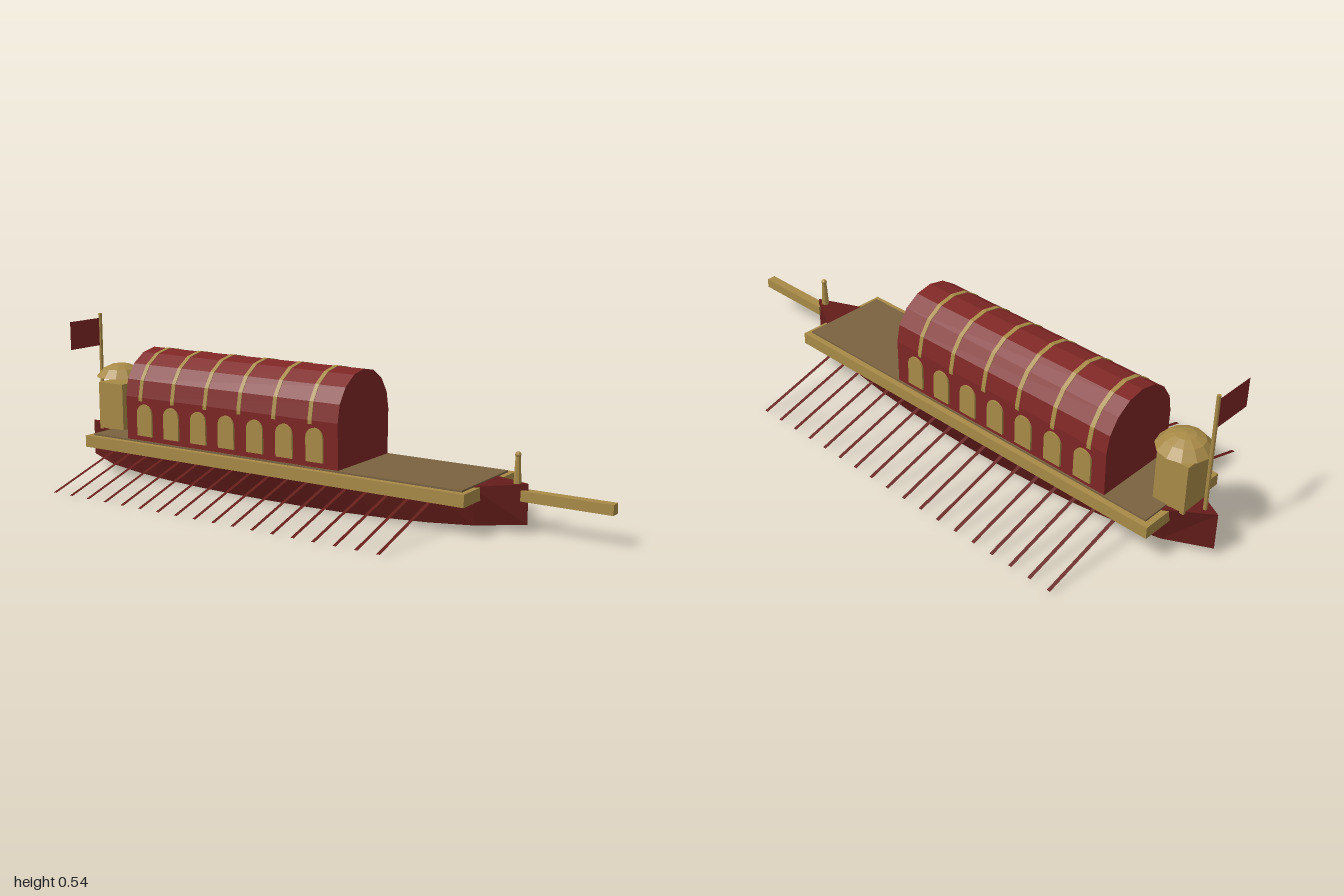
import * as THREE from 'three';

const mat = (color, double = false) => new THREE.MeshStandardMaterial({
  color, flatShading: true, side: double ? THREE.DoubleSide : THREE.FrontSide });
const RED = mat(0x7e2624), HULL = mat(0x641d1a, true), CLOTH = mat(0x7e2624, true);
const GOLD = mat(0xa88a47), DECK = mat(0x7a6240), OAR = mat(0x641d1a, true);

export function createModel() {
  const root = new THREE.Group();
  const add = (name, geometry, material, x = 0, y = 0, z = 0, parent = root) => {
    const mesh = new THREE.Mesh(geometry, material);
    mesh.name = name;
    mesh.position.set(x, y, z);
    parent.add(mesh);
    return mesh;
  };
  const group = (name) => {
    const g = new THREE.Group();
    g.name = name;
    root.add(g);
    return g;
  };
  // Box given by its limits on each axis
  const box = (name, material, x0, x1, y0, y1, z0, z1) =>
    add(name, new THREE.BoxGeometry(x1 - x0, y1 - y0, z1 - z0), material,
      (x0 + x1) / 2, (y0 + y1) / 2, (z0 + z1) / 2);

  add('hull', hullGeometry(), HULL);

  // Gold platform with the inset deck on top
  box('platform', GOLD, -0.88, 0.605, 0.096, 0.136, -0.1725, 0.1725);
  box('deck', DECK, -0.86, 0.588, 0.13, 0.142, -0.152, 0.152);

  // Barrel-roofed cabin
  const cabinSection = new THREE.Shape([
    new THREE.Vector2(-0.148, 0.138), new THREE.Vector2(0.148, 0.138), ...archPoints(0.151)]);
  add('cabin', alongX(cabinSection, 0.86), RED, -0.705);

  // Gold ribs following the facets of the roof
  const ribSection = new THREE.Shape([
    new THREE.Vector2(0.153, 0.279), ...archPoints(0.153), new THREE.Vector2(-0.153, 0.279),
    new THREE.Vector2(-0.147, 0.279), ...archPoints(0.147).reverse(), new THREE.Vector2(0.147, 0.279)]);
  const ribGeometry = alongX(ribSection, 0.015);
  const ribs = group('roofRibs');
  for (let i = 0; i < 6; i++) add('rib', ribGeometry, GOLD, -0.6485 + i * 0.1385, 0, 0, ribs);

  // Arched windows along both walls
  const arch = new THREE.Shape();
  arch.moveTo(-0.032, 0.16);
  arch.lineTo(0.032, 0.16);
  arch.lineTo(0.032, 0.237);
  arch.absarc(0, 0.237, 0.032, 0, Math.PI, false);
  arch.closePath();
  const windowGeometry = new THREE.ExtrudeGeometry(arch,
    { depth: 0.012, bevelEnabled: false, curveSegments: 6 });
  const windows = group('windows');
  for (let i = 0; i < 7; i++) {
    for (const z of [0.144, -0.156]) add('window', windowGeometry, GOLD, -0.623 + i * 0.1155, 0, z, windows);
  }

  // Flat, sloping oars in two mirrored banks
  const drop = 0.09, reach = 0.3;
  const oarGeometry = new THREE.PlaneGeometry(0.012, Math.hypot(drop, reach));
  oarGeometry.rotateX(-Math.PI / 2 + Math.atan2(drop, reach));
  const oars = group('oars');
  for (let i = 0; i < 18; i++) {
    for (const s of [-1, 1]) {
      const oar = add('oar', oarGeometry, OAR, -0.76 + i * 0.0732, 0.052, s * 0.3, oars);
      if (s < 0) oar.rotation.y = Math.PI;
    }
  }

  // Stern tower and its domed canopy
  box('sternTower', GOLD, -0.92, -0.81, 0.136, 0.305, -0.055, 0.055);
  const dome = [[0, 0.325], [0.086, 0.325], [0.061, 0.354], [0.032, 0.367], [0, 0.372]]
    .map(([r, y]) => new THREE.Vector2(r, y));
  add('canopy', new THREE.LatheGeometry(dome, 12), GOLD, -0.864);

  // Flag at the stern
  add('flagPole', new THREE.CylinderGeometry(0.0065, 0.0065, 0.41, 8), GOLD, -0.955, 0.337);
  const flag = new THREE.PlaneGeometry(0.152, 0.098);
  flag.rotateY(Math.PI / 2);
  add('flag', flag, CLOTH, -0.955, 0.477, 0.076);

  // Bow spar and figurehead
  box('bowSpar', GOLD, 0.71, 1, 0.097, 0.129, -0.016, 0.016);
  add('figureheadBody', new THREE.CylinderGeometry(0.008, 0.013, 0.09, 8), GOLD, 0.692, 0.185);
  add('figureheadHead', new THREE.SphereGeometry(0.01, 8, 6), GOLD, 0.692, 0.234);

  return root;
}

// Eight-sided half circle of the cabin roof
function archPoints(r) {
  return Array.from({ length: 9 }, (_, i) => new THREE.Vector2(
    r * Math.cos(i * Math.PI / 8), 0.291 + r * Math.sin(i * Math.PI / 8)));
}

// Extrudes a cross-section along the length of the ship
function alongX(shape, depth) {
  return new THREE.ExtrudeGeometry(shape, { depth, bevelEnabled: false }).rotateY(Math.PI / 2);
}

// Double-pointed hull, lofted from stern to bow, closed above and below at the tips
function hullGeometry() {
  const N = 12, pos = [], idx = [];
  for (let i = 0; i <= N; i++) {
    const u = i / N, t = Math.abs(2 * u - 1);
    const x = -1 + 1.728 * u;
    const w = 0.165 * Math.sqrt(Math.max(0, Math.sin(Math.PI * u)));
    const top = 0.1 + 0.05 * t ** 1.5, keel = 0.025 * t ** 3;
    pos.push(x, top, w, x, keel, w * 0.73, x, keel, -w * 0.73, x, top, -w);
  }
  for (let i = 0; i < N; i++) {
    const a = i * 4, b = a + 4;
    idx.push(a, a + 1, b + 1, a, b + 1, b);
    idx.push(a + 3, b + 2, a + 2, a + 3, b + 3, b + 2);
    if (i === 0 || i === N - 1) {
      idx.push(a, b, b + 3, a, b + 3, a + 3);
      idx.push(a + 1, b + 2, b + 1, a + 1, a + 2, b + 2);
    }
  }
  const g = new THREE.BufferGeometry();
  g.setAttribute('position', new THREE.Float32BufferAttribute(pos, 3));
  g.setIndex(idx);
  g.computeVertexNormals();
  return g;
}
